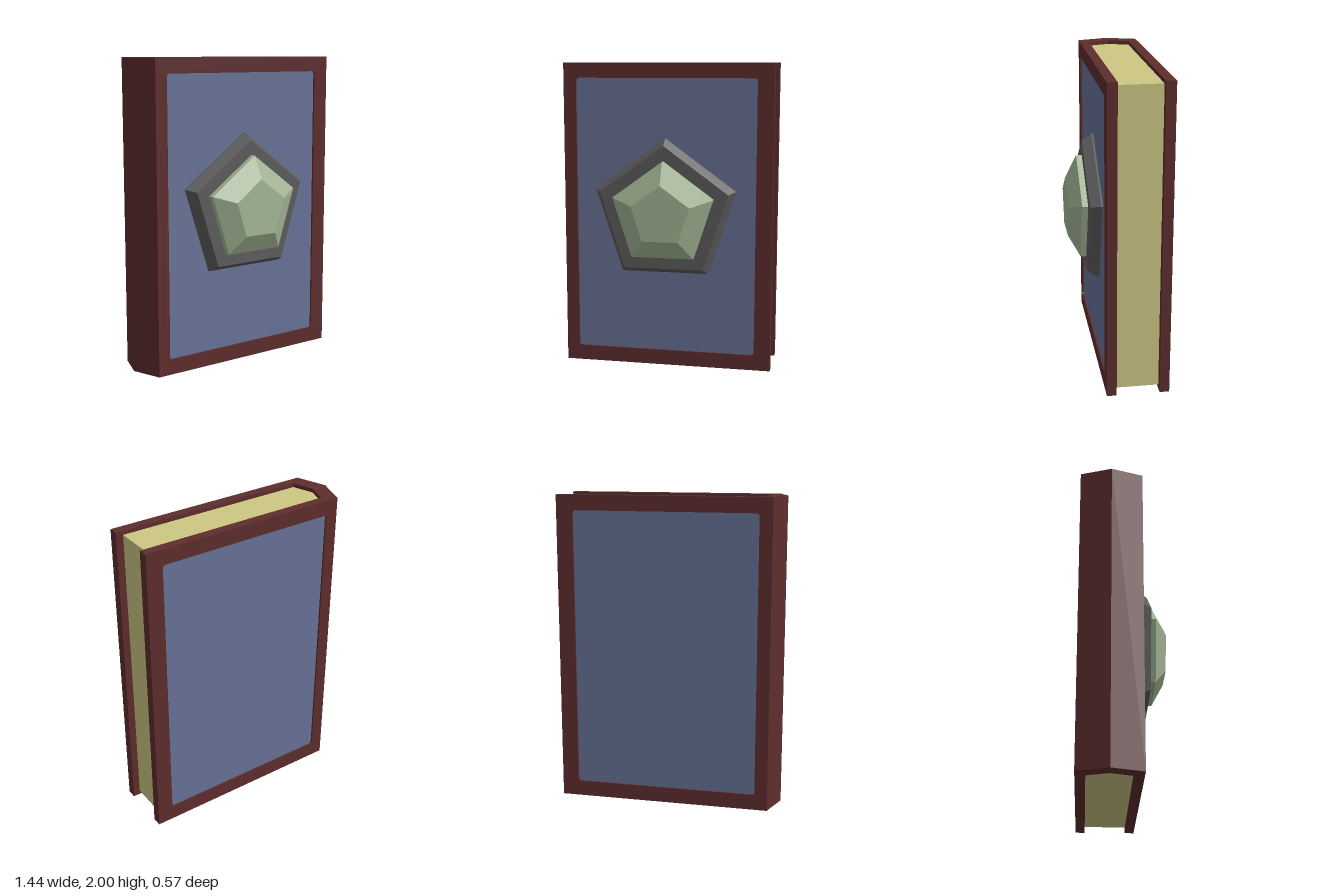
import * as THREE from 'three';

const paint = (name, color) => {
  const m = new THREE.MeshStandardMaterial({ color, flatShading: true });
  m.name = name;
  return m;
};

export function createModel() {
  const leather = paint('maroon leather', 0x5e2d2d);
  const cloth = paint('blue cloth', 0x687397);
  const paper = paint('cream paper', 0xcdc783);
  const metal = paint('dark metal', 0x5d5d5d);
  const jewel = paint('pale green gem', 0xa5b897);

  const model = new THREE.Group();
  model.name = 'book';
  const add = (name, geometry, material, parent = model) => {
    const mesh = new THREE.Mesh(geometry, material);
    mesh.name = name;
    parent.add(mesh);
    return mesh;
  };

  // Extrudes an outline of [x, z] points upward from y0 to y1
  const upright = (points, y0, y1) => {
    const shape = new THREE.Shape(points.map(([x, z]) => new THREE.Vector2(x, -z)));
    return new THREE.ExtrudeGeometry(shape, { depth: y1 - y0, bevelEnabled: false })
      .rotateX(-Math.PI / 2)
      .translate(0, y0, 0);
  };

  // Pointed spine, hollowed to take the page block
  add('spine', upright([
    [-0.655, 0.112], [-0.722, -0.088], [-0.655, -0.287], [-0.655, -0.225],
    [-0.573, -0.225], [-0.62, -0.088], [-0.573, 0.05], [-0.655, 0.05],
  ], 0, 2), leather);

  // Page block
  add('pages', upright([
    [0.675, 0.05], [-0.573, 0.05], [-0.62, -0.088], [-0.573, -0.225], [0.675, -0.225],
  ], 0.028, 1.975), paper);

  // Cover boards: a frame around a slightly sunken cloth panel
  const x0 = -0.573, x1 = 0.615, y0 = 0.1, y1 = 1.903, c = 0.012;
  const board = new THREE.Shape([[-0.655, 0], [0.722, 0], [0.722, 2], [-0.655, 2]]
    .map(p => new THREE.Vector2(...p)));
  board.holes.push(new THREE.Path([
    [x0 + c, y0], [x0, y0 + c], [x0, y1 - c], [x0 + c, y1],
    [x1 - c, y1], [x1, y1 - c], [x1, y0 + c], [x1 - c, y0],
  ].map(p => new THREE.Vector2(...p))));
  for (const [side, zBoard, zPanel] of [['front', 0.05, 0.075], ['back', -0.287, -0.25]]) {
    add(side + 'CoverFrame',
      new THREE.ExtrudeGeometry(board, { depth: 0.062, bevelEnabled: false })
        .translate(0, 0, zBoard), leather);
    add(side + 'CoverPanel',
      new THREE.BoxGeometry(x1 - x0, y1 - y0, 0.05)
        .translate((x0 + x1) / 2, (y0 + y1) / 2, zPanel), cloth);
  }

  // Five-sided ornament, built from [radius, z] rings with a point at the top
  const pentagon = (name, rings, material) => {
    const group = new THREE.Group();
    group.name = name;
    group.position.set(0.022, 1.03, 0);
    for (let i = 0; i + 1 < rings.length; i++) {
      const [r0, z0] = rings[i], [r1, z1] = rings[i + 1];
      const last = i === rings.length - 2;
      add(name + 'Tier' + (i + 1),
        new THREE.CylinderGeometry(r1, r0, z1 - z0, 5, 1, !last, Math.PI)
          .rotateX(Math.PI / 2)
          .translate(0, 0, (z0 + z1) / 2), material, group);
    }
    model.add(group);
  };
  pentagon('gemMount', [[0.49, 0.095], [0.488, 0.112], [0.444, 0.176]], metal);
  pentagon('gem', [[0.346, 0.17], [0.346, 0.213], [0.2, 0.286]], jewel);

  return model;
}
